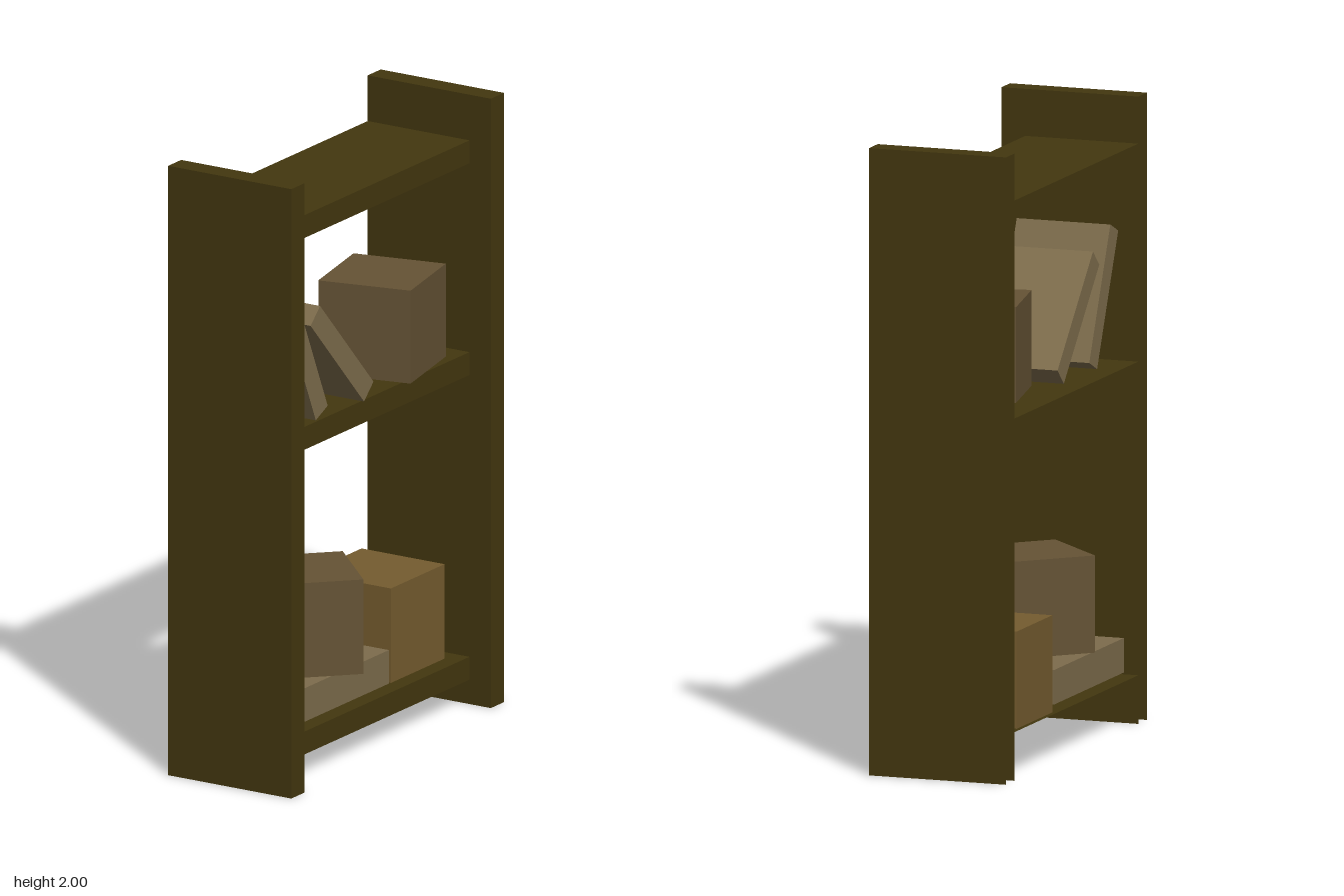
import * as THREE from 'three';

const mat = (color) => new THREE.MeshStandardMaterial({ color, flatShading: true, side: THREE.DoubleSide });
const wood = mat(0x43370f);
const paper = mat(0x7d6c4c);
const cardboard = mat(0x655335);
const ochre = mat(0x755c2f);

// Box side numbers in the order BoxGeometry stores them
const PX = 0, PY = 2, PZ = 4, NZ = 5;

// Box of a given size and centre; 'sides' keeps only those faces
function block(name, material, size, position, sides) {
  const geometry = new THREE.BoxGeometry(...size);
  if (sides) {
    const all = Array.from(geometry.index.array);
    geometry.setIndex(sides.flatMap((s) => all.slice(s * 6, s * 6 + 6)));
    geometry.clearGroups();
  }
  const mesh = new THREE.Mesh(geometry, material);
  mesh.name = name;
  mesh.position.set(...position);
  return mesh;
}

export function createModel() {
  const model = new THREE.Group();
  model.name = 'bookshelf';

  // Upright end panels, open along the wall edge and underneath
  for (const s of [1, -1]) {
    model.add(block(s > 0 ? 'frontPanel' : 'backPanel', wood,
      [0.46, 2, 0.075], [0, 1, s * 0.576], [PX, PY, PZ, NZ]));
  }

  // Shelves: a top surface and a facing strip
  [0.1175, 1.1175, 1.8125].forEach((y, i) => {
    model.add(block(`shelf${i + 1}`, wood, [0.38, 0.075, 1.077], [-0.04, y, 0], [PX, PY]));
  });

  // Lower shelf: square box, flat book and a turned box on the book
  model.add(block('lowerBox', ochre, [0.31, 0.31, 0.31], [-0.06, 0.31, -0.325]));
  model.add(block('flatBook', paper, [0.32, 0.11, 0.61], [-0.04, 0.225, 0.185]));
  const stacked = block('stackedBox', cardboard, [0.31, 0.31, 0.31], [-0.01, 0.445, 0.165]);
  stacked.rotation.y = Math.PI / 4;
  model.add(stacked);

  // Middle shelf: slightly turned box and two leaning books
  const upper = block('upperBox', cardboard, [0.31, 0.305, 0.31], [0.02, 1.322, -0.235]);
  upper.rotation.y = 0.21;
  model.add(upper);
  for (const [name, x, y, z, tilt] of [
    ['leaningBook1', -0.008, 1.38, 0.405, 0.42],
    ['leaningBook2', 0.003, 1.345, 0.213, 0.755],
  ]) {
    const book = block(name, paper, [0.315, 0.45, 0.075], [x, y, z]);
    book.rotation.x = tilt;
    model.add(book);
  }

  return model;
}
